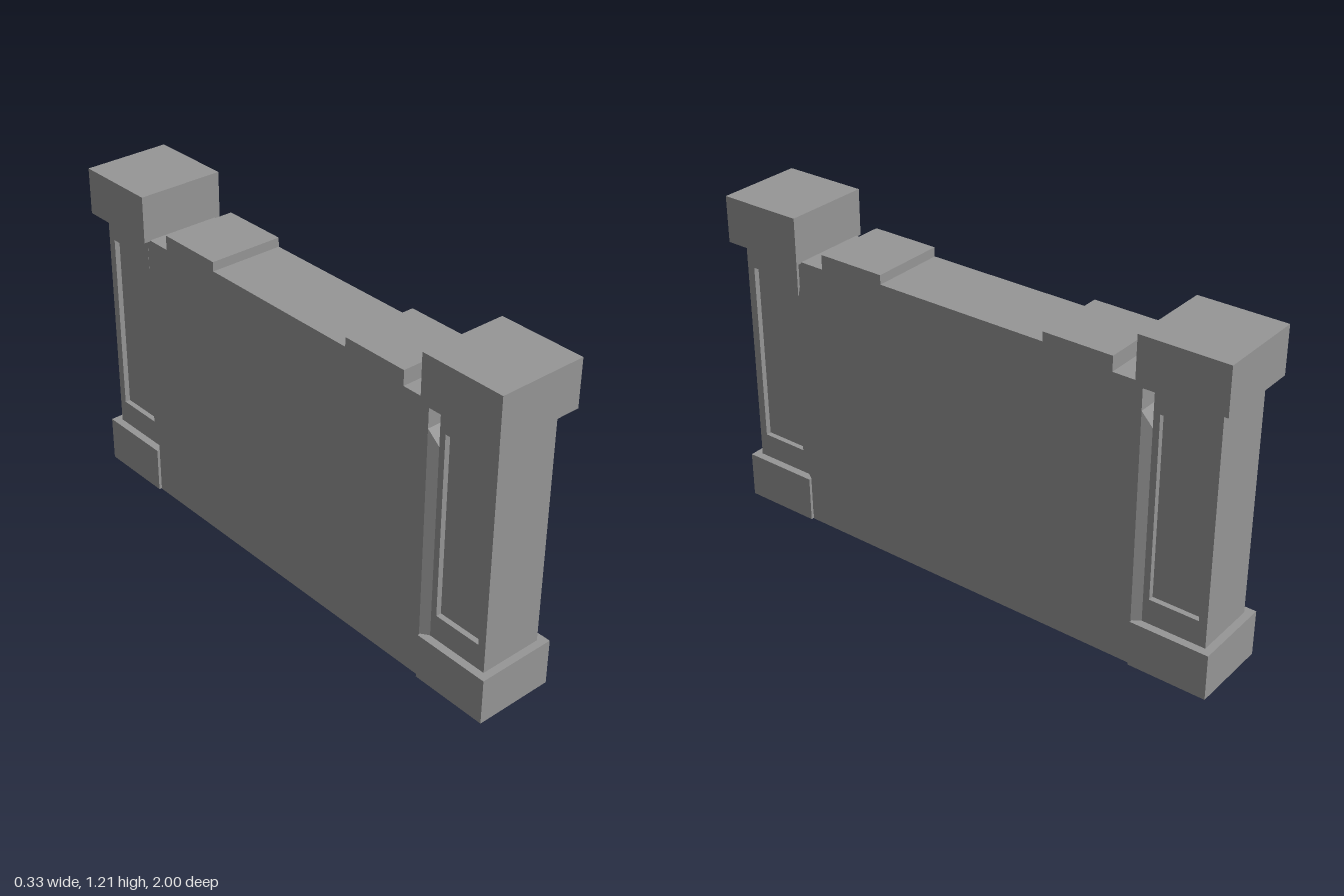
import * as THREE from 'three';

const material = new THREE.MeshStandardMaterial({ color: 0x969696, flatShading: true });

function add(parent, name, geometry) {
  const mesh = new THREE.Mesh(geometry, material);
  mesh.name = name;
  parent.add(mesh);
  return mesh;
}

// Box spanning x = -w..w between the given heights and depths
function block(parent, name, w, y0, y1, z0, z1) {
  const mesh = add(parent, name, new THREE.BoxGeometry(2 * w, y1 - y0, z1 - z0));
  mesh.position.set(0, (y0 + y1) / 2, (z0 + z1) / 2);
  return mesh;
}

function rectangle(Type, a0, a1, b0, b1) {
  const p = new Type();
  p.moveTo(a0, b0);
  p.lineTo(a1, b0);
  p.lineTo(a1, b1);
  p.lineTo(a0, b1);
  p.closePath();
  return p;
}

function createPillar(name) {
  const pillar = new THREE.Group();
  pillar.name = name;
  const half = 0.12, recess = 0.02, z0 = 0.725, z1 = 0.962, y0 = 0.172, y1 = 1.037;

  block(pillar, 'pillarBase', 0.149, 0, y0, 0.698, 0.99);
  block(pillar, 'pillarCore', half - recess, y0, y1, z0, z1);
  block(pillar, 'pillarCap', 0.163, y1, 1.208, 0.682, 1);

  // Frames around the sunken panel on both sides
  const frame = rectangle(THREE.Shape, -z1, -z0, y0, y1);
  frame.holes.push(rectangle(THREE.Path, -0.932, -0.748, 0.265, 0.942));
  const frameGeometry = new THREE.ExtrudeGeometry(frame, { depth: recess, bevelEnabled: false });
  frameGeometry.rotateY(Math.PI / 2);
  for (const x of [half - recess, -half]) {
    add(pillar, 'panelFrame', frameGeometry).position.x = x;
  }

  // Tapered wall end that meets the pillar, with a sloping top
  const taper = new THREE.BoxGeometry(1, 1, 1);
  const p = taper.attributes.position;
  for (let i = 0; i < p.count; i++) {
    const outer = p.getZ(i) > 0;
    const top = p.getY(i) > 0;
    p.setXYZ(i,
      Math.sign(p.getX(i)) * (outer ? half : 0.14),
      top ? (outer ? 0.887 : 0.945) : 0.02,
      outer ? z0 : 0.695);
  }
  taper.computeVertexNormals();
  add(pillar, 'wallEndTaper', taper);
  return pillar;
}

export function createModel() {
  const model = new THREE.Group();
  model.name = 'wallSection';

  // Wall slab with a stepped top
  const half = [[0.695, 0], [0.695, 1.041], [0.586, 1.041], [0.586, 1.095], [0.327, 1.095], [0.327, 1.061]];
  const outline = [...half, ...half.map(([z, y]) => [-z, y]).reverse()];
  const shape = new THREE.Shape(outline.map(([z, y]) => new THREE.Vector2(z, y)));
  const wall = new THREE.ExtrudeGeometry(shape, { depth: 0.28, bevelEnabled: false });
  wall.translate(0, 0, -0.14);
  wall.rotateY(Math.PI / 2);
  add(model, 'wall', wall);

  // Matching pillars at both ends
  model.add(createPillar('frontPillar'));
  const back = createPillar('backPillar');
  back.rotation.y = Math.PI;
  model.add(back);
  return model;
}
